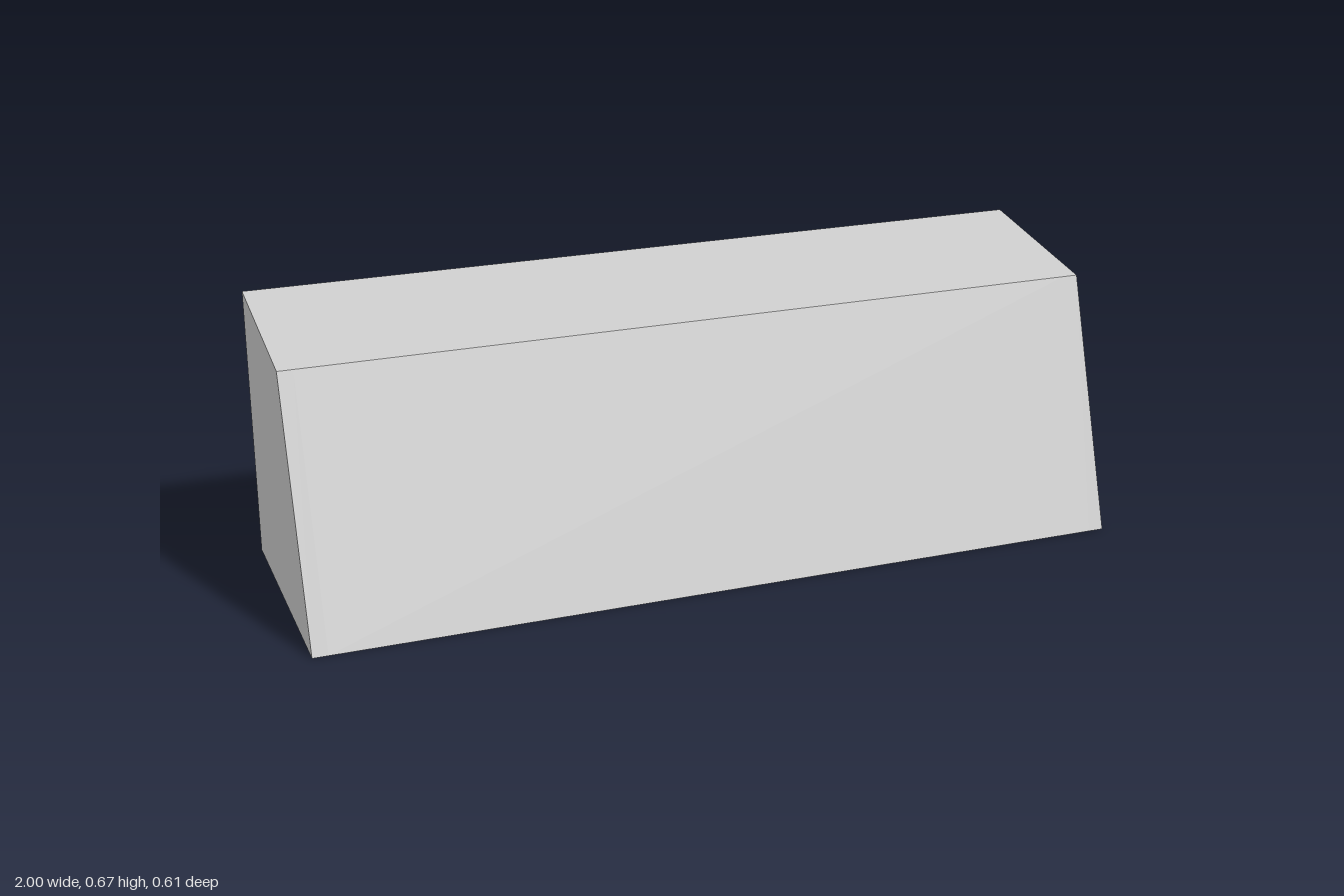
import * as THREE from 'three';

// Extrudes a [z, y] profile along x, centred on the given x
function extrudeAlongX(points, width, x, material, name) {
  const shape = new THREE.Shape(points.map(([z, y]) => new THREE.Vector2(z, y)));
  const geometry = new THREE.ExtrudeGeometry(shape, { depth: width, bevelEnabled: false });
  geometry.translate(0, 0, -width / 2);
  geometry.rotateY(-Math.PI / 2);
  const mesh = new THREE.Mesh(geometry, material);
  mesh.position.x = x;
  mesh.name = name;
  return mesh;
}

export function createModel() {
  const group = new THREE.Group();
  group.name = 'slopedCover';
  const grey = new THREE.MeshStandardMaterial({ color: 0xcccccc });
  grey.name = 'lightGrey';

  const wall = 0.037;
  const backTop = [-0.307, 0.667];
  const ridge = [0.103, 0.607];
  const frontFoot = [0.307, 0];

  // Sloping front and top panels, open at the back and underneath
  const shell = [frontFoot, ridge, backTop, [-0.307, 0.626], [0.069, 0.571], [0.261, 0]];
  group.add(extrudeAlongX(shell, 2 - 2 * wall, 0, grey, 'frontAndTopPanel'));

  // Solid end walls
  const end = [frontFoot, ridge, backTop, [-0.307, 0]];
  for (const [side, name] of [[1, 'leftEndWall'], [-1, 'rightEndWall']]) {
    group.add(extrudeAlongX(end, wall, side * (1 - wall / 2), grey, name));
  }
  return group;
}
